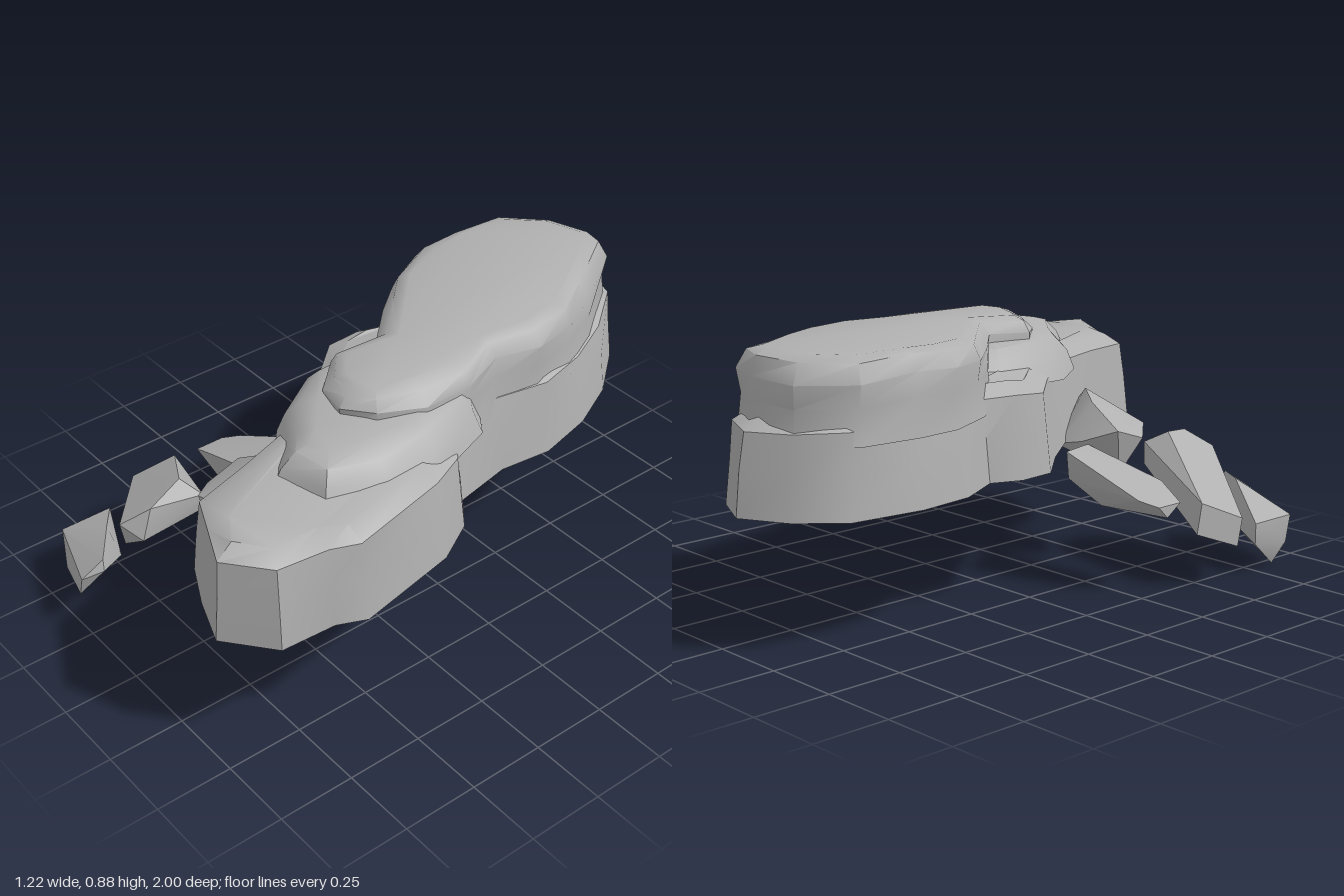
import * as THREE from 'three';
import { toCreasedNormals } from 'three/addons/utils/BufferGeometryUtils.js';
import { ConvexGeometry } from 'three/addons/geometries/ConvexGeometry.js';

const stone = new THREE.MeshStandardMaterial({ color: 0xb0b0b0 });
stone.name = 'grey stone';

// Stacks inset copies of a plan outline [x, z]; each ring is { y, inset, rough, tilt }
function slab(name, outline, rings) {
  const n = outline.length, pos = [], idx = [];
  rings.forEach(({ y, inset, rough = 0, tilt = 0 }, k) => {
    outline.forEach(([x, z], i) => {
      const [px, pz] = outline[(i + n - 1) % n], [nx, nz] = outline[(i + 1) % n];
      const len = Math.hypot(nx - px, nz - pz);
      const d = inset + rough * Math.sin(i * 2.3 + k);
      pos.push(x - d * (nz - pz) / len, y + tilt * z + rough * Math.sin(i * 1.7), z + d * (nx - px) / len);
    });
    if (k === 0) return;
    for (let i = 0; i < n; i++) {
      const j = (i + 1) % n, a = (k - 1) * n, b = k * n;
      idx.push(a + j, a + i, b + i, a + j, b + i, b + j);
    }
  });
  // Top and bottom caps
  for (const [start, up] of [[0, false], [(rings.length - 1) * n, true]]) {
    const pts = outline.map((_, i) => new THREE.Vector2(pos[(start + i) * 3], -pos[(start + i) * 3 + 2]));
    for (const [a, b, c] of THREE.ShapeUtils.triangulateShape(pts, [])) {
      const ccw = THREE.ShapeUtils.area([pts[a], pts[b], pts[c]]) > 0;
      idx.push(start + a, ...(ccw === up ? [start + b, start + c] : [start + c, start + b]));
    }
  }
  const g = new THREE.BufferGeometry();
  g.setAttribute('position', new THREE.Float32BufferAttribute(pos, 3));
  g.setIndex(idx);
  return mesh(name, g, 0.75);
}

function mesh(name, geometry, crease) {
  const m = new THREE.Mesh(toCreasedNormals(geometry, crease), stone);
  m.name = name;
  return m;
}

// Faceted loose stone spanning a few corner points
function boulder(name, corners) {
  return mesh(name, new ConvexGeometry(corners.map(c => new THREE.Vector3(...c))), 0.6);
}

export function createModel() {
  const group = new THREE.Group();
  group.name = 'rockFormation';

  // Broad base with a flat underside
  group.add(slab('baseRock', [
    [-0.09, -1], [0.06, -0.93], [0.2, -0.76], [0.29, -0.58], [0.34, -0.38], [0.32, -0.2],
    [0.36, 0], [0.46, 0.08], [0.54, 0.22], [0.61, 0.57], [0.57, 0.66], [0.56, 0.84],
    [0.41, 0.96], [0.25, 0.9], [0.11, 0.83], [0.06, 0.62], [-0.03, 0.38], [-0.17, 0.19],
    [-0.31, 0.03], [-0.32, -0.1], [-0.28, -0.2], [-0.36, -0.36], [-0.38, -0.55],
    [-0.35, -0.79], [-0.24, -0.92],
  ], [
    { y: 0.41, inset: 0 },
    { y: 0.55, inset: 0.015 },
    { y: 0.665, inset: 0.03, rough: 0.006, tilt: 0.01 },
    { y: 0.7, inset: 0.09, rough: 0.008, tilt: 0.01 },
  ]));

  // Middle step toward the front
  group.add(slab('middleStep', [
    [0.1, -0.2], [0.33, -0.02], [0.4, 0.18], [0.42, 0.36], [0.36, 0.52], [0.23, 0.56],
    [0.14, 0.48], [0.02, 0.38], [-0.08, 0.24], [-0.08, 0.02],
  ], [
    { y: 0.65, inset: -0.06 },
    { y: 0.72, inset: -0.025, rough: 0.01 },
    { y: 0.765, inset: 0.015, rough: 0.01 },
    { y: 0.785, inset: 0.07 },
  ]));

  // Long upper ledge
  group.add(slab('upperLedge', [
    [-0.05, -0.93], [0.05, -0.89], [0.2, -0.68], [0.28, -0.52], [0.31, -0.35], [0.29, -0.2],
    [0.33, -0.05], [0.33, 0.12], [0.29, 0.28], [0.18, 0.34], [0.05, 0.31], [-0.06, 0.2],
    [-0.03, 0.03], [-0.18, -0.1], [-0.28, -0.22], [-0.36, -0.4], [-0.37, -0.55],
    [-0.35, -0.75], [-0.22, -0.89],
  ], [
    { y: 0.62, inset: 0 },
    { y: 0.73, inset: 0.015, rough: 0.008 },
    { y: 0.8, inset: 0.01, rough: 0.01 },
    { y: 0.84, inset: 0.04, rough: 0.008, tilt: -0.02 },
    { y: 0.855, inset: 0.08, rough: 0.004, tilt: -0.02 },
  ]));

  // Trail of loose stones falling away on the right side
  group.add(boulder('roundStone', [
    [-0.2, 0.46, 0.45], [-0.2, 0.42, 0.57], [-0.16, 0.3, 0.5], [-0.13, 0.45, 0.65],
    [-0.08, 0.38, 0.65], [0.01, 0.34, 0.6], [0.04, 0.42, 0.62], [0.06, 0.5, 0.5],
    [0, 0.57, 0.5], [-0.08, 0.54, 0.45], [-0.02, 0.47, 0.64], [-0.1, 0.42, 0.38], [0, 0.4, 0.36],
  ]));
  group.add(boulder('backStone', [
    [-0.52, 0.29, 0.3], [-0.52, 0.25, 0.34], [-0.47, 0.31, 0.26], [-0.52, 0.29, 0.4],
    [-0.41, 0.23, 0.39], [-0.2, 0.43, 0.21], [-0.2, 0.34, 0.22], [-0.11, 0.41, 0.4],
    [-0.13, 0.33, 0.38], [-0.3, 0.26, 0.27], [-0.42, 0.34, 0.42],
  ]));
  group.add(boulder('largeStone', [
    [-0.55, 0.28, 0.47], [-0.55, 0.18, 0.45], [-0.61, 0.22, 0.6], [-0.61, 0.13, 0.58],
    [-0.5, 0.16, 0.72], [-0.26, 0.36, 0.86], [-0.27, 0.27, 0.84], [-0.2, 0.42, 0.78],
    [-0.19, 0.32, 0.82], [-0.25, 0.44, 0.64], [-0.18, 0.4, 0.6], [-0.2, 0.33, 0.58], [-0.4, 0.17, 0.77],
  ]));
  group.add(boulder('lowestStone', [
    [-0.57, 0.17, 0.72], [-0.57, 0.1, 0.72], [-0.57, 0.17, 0.9], [-0.57, 0.08, 0.88],
    [-0.53, 0, 0.86], [-0.38, 0.27, 0.84], [-0.26, 0.26, 0.93], [-0.24, 0.23, 0.94],
    [-0.28, 0.2, 1], [-0.3, 0.13, 1], [-0.36, 0.15, 0.81], [-0.45, 0.12, 0.96],
  ]));
  return group;
}
